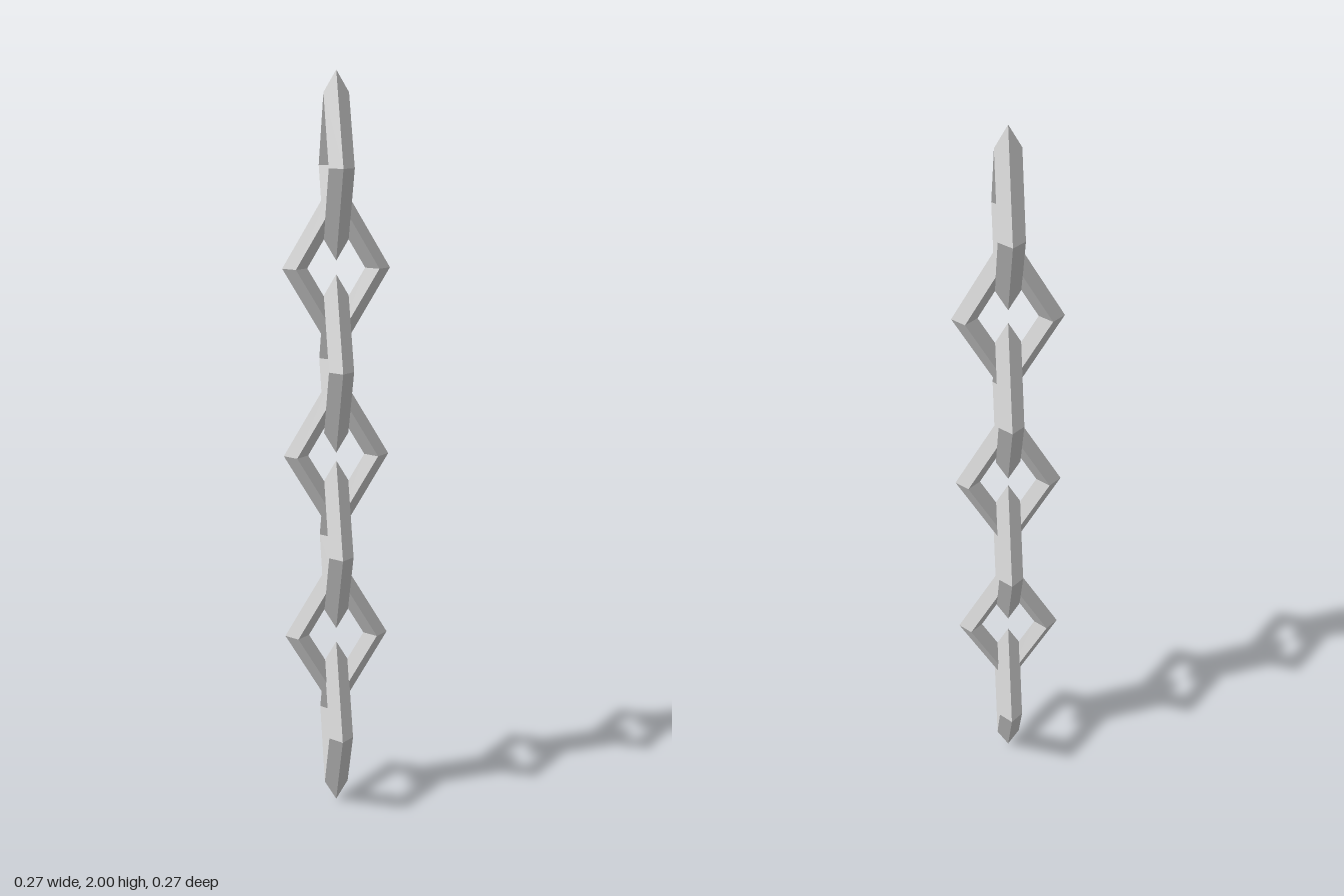
import * as THREE from 'three';

export function createModel() {
  const chain = new THREE.Group();
  chain.name = 'chain';

  const material = new THREE.MeshStandardMaterial({ color: 0xcccccc, flatShading: true });

  // Diamond-shaped link: four-sided ring with a four-sided section, stretched upright
  const linkGeometry = new THREE.TorusGeometry(0.108, 0.0325, 4, 4);
  linkGeometry.scale(1, 0.238 / 0.1405, 1);

  // Links from bottom to top, each a quarter turn from the one below
  const heights = [0.239, 0.5, 0.754, 1.008, 1.251, 1.505, 1.762];
  const twist = 0.222;
  heights.forEach((y, i) => {
    const link = new THREE.Mesh(linkGeometry, material);
    link.name = `link${i + 1}`;
    link.position.y = y;
    link.rotation.y = twist + (i % 2 === 0 ? Math.PI / 2 : 0);
    chain.add(link);
  });

  return chain;
}
